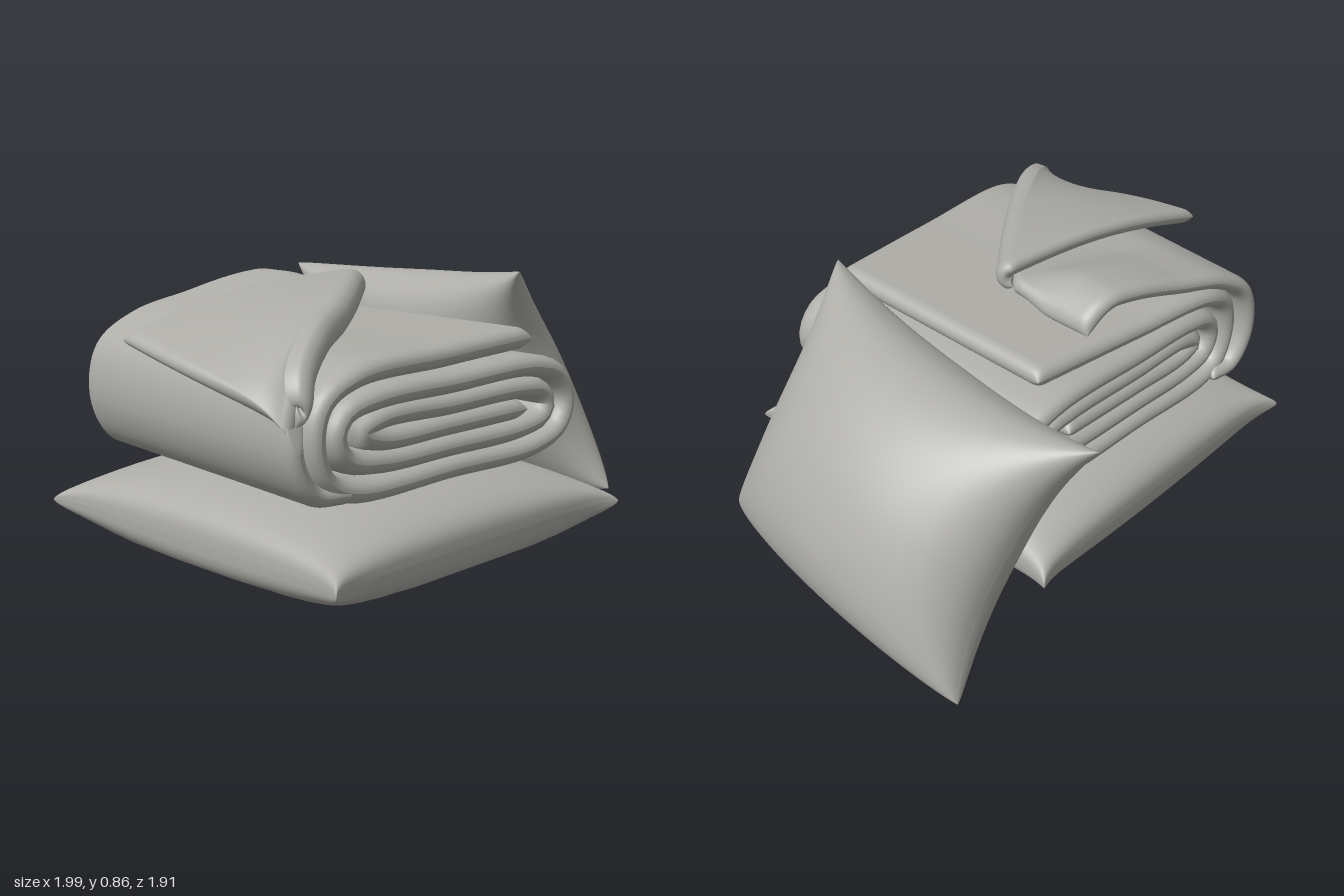
import * as THREE from 'three';

const V = (x, y, z) => new THREE.Vector3(x, y, z);
const smooth = THREE.MathUtils.smoothstep;
const fabric = new THREE.MeshStandardMaterial({ color: 0xaeada8 });
fabric.name = 'grey fabric';

// Grid of (n+1) x (m+1) points, denser toward its borders
function gridSurface(n, m, point, flip, out) {
  const base = out.pos.length / 3;
  for (let i = 0; i <= n; i++) {
    for (let j = 0; j <= m; j++) {
      const a = 0.5 - 0.5 * Math.cos((Math.PI * i) / n);
      const b = 0.5 - 0.5 * Math.cos((Math.PI * j) / m);
      out.pos.push(...point(a, b).toArray());
    }
  }
  for (let i = 0; i < n; i++) {
    for (let j = 0; j < m; j++) {
      const p = base + i * (m + 1) + j, q = p + m + 1;
      if (flip) out.idx.push(p, q + 1, q, p, p + 1, q + 1);
      else out.idx.push(p, q, q + 1, p, q + 1, p + 1);
    }
  }
}

function toMesh(out, name) {
  const g = new THREE.BufferGeometry();
  g.setAttribute('position', new THREE.Float32BufferAttribute(out.pos, 3));
  g.setIndex(out.idx);
  g.computeVertexNormals();
  const mesh = new THREE.Mesh(g, fabric);
  mesh.name = name;
  return mesh;
}

// Cushion: two bulging shells that meet in a seam through four corners
function cushion(name, c, o) {
  const out = { pos: [], idx: [] };
  const ds = c[1].clone().sub(c[0]), dt = c[2].clone().sub(c[0]);
  const normal = ds.cross(dt).normalize();
  for (const side of [1, -1]) {
    gridSurface(64, 64, (a, b) => {
      const s = 2 * a - 1, t = 2 * b - 1;
      const ps = s * (1 - o.pinchS * (1 - Math.abs(t) ** o.ear));
      const pt = t * (1 - (t > 0 ? o.pinchTop : o.pinchBottom) * (1 - Math.abs(s) ** o.ear));
      const p = c[0].clone().lerp(c[1], (ps + 1) / 2)
        .lerp(c[2].clone().lerp(c[3], (ps + 1) / 2), (pt + 1) / 2);
      const puff = Math.pow(Math.max(0, (1 - s * s) * (1 - t * t)), o.power) * (1 - o.sag * t);
      p.addScaledVector(normal, side * puff * (side > 0 ? o.up : o.down));
      p.y = Math.max(0.005, p.y); // rests flat on the ground
      return p;
    }, side < 0, out);
  }
  return toMesh(out, name);
}

// Padded cloth of given thickness around a centre surface, with rounded hems
function cloth(name, fn, n, m, thick, hemA, hemB) {
  const out = { pos: [], idx: [] };
  const hem = (x, w) => {
    const d = Math.min(1, Math.min(x, 1 - x) / w);
    return Math.sqrt(Math.max(0, 1 - (1 - d) ** 2));
  };
  const e = 0.002;
  for (const side of [1, -1]) {
    gridSurface(n, m, (a, b) => {
      const a0 = Math.max(0, a - e), a1 = Math.min(1, a + e);
      const b0 = Math.max(0, b - e), b1 = Math.min(1, b + e);
      const nrm = fn(a1, b).sub(fn(a0, b)).cross(fn(a, b1).sub(fn(a, b0))).normalize();
      return fn(a, b).addScaledVector(nrm, side * 0.5 * thick * hem(a, hemA) * hem(b, hemB));
    }, side < 0, out);
  }
  return toMesh(out, name);
}

const curve = (pts) => new THREE.CatmullRomCurve3(pts.map(([u, y]) => V(u, y, 0)));

// Blanket frame: u runs across, v runs to the front, turned a little
function place(u, y, v) {
  const k = u + 0.17 * v * Math.min(0, u);
  return V(-0.19 + k * 0.982 + v * 0.188, y, 0.12 - k * 0.188 + v * 0.982);
}

export function createModel() {
  const group = new THREE.Group();
  group.name = 'beddingStack';

  // Flat pillow at the bottom
  group.add(cushion('flatPillow',
    [V(-0.72, 0.09, 0.95), V(0.63, 0.09, 0.65), V(-0.99, 0.1, -0.42), V(0.33, 0.09, -0.72)],
    { pinchS: 0.055, pinchTop: 0.055, pinchBottom: 0.055, ear: 10, power: 0.32, sag: 0, up: 0.19, down: 0.2 }));

  // Pillow leaning against the stack
  group.add(cushion('leaningPillow',
    [V(0.9, 0.02, 0.32), V(0.8, 0.02, -0.92), V(0.45, 0.86, 0.31), V(0.33, 0.79, -0.96)],
    { pinchS: 0.16, pinchTop: 0.12, pinchBottom: 0, ear: 2.5, power: 0.42, sag: 0.12, up: 0.3, down: 0.24 }));

  const blanket = new THREE.Group();
  blanket.name = 'foldedBlanket';
  group.add(blanket);

  // Folded layers, from the top panel inward
  const spiral = curve([
    [0.45, 0.665], [0, 0.66], [-0.4, 0.65], [-0.51, 0.59], [-0.54, 0.48], [-0.5, 0.36],
    [-0.4, 0.312], [0, 0.31], [0.4, 0.312], [0.54, 0.36], [0.58, 0.45], [0.53, 0.54],
    [0.4, 0.582], [0, 0.58], [-0.3, 0.575], [-0.42, 0.545], [-0.455, 0.48], [-0.42, 0.41],
    [-0.3, 0.38], [0, 0.377], [0.35, 0.38], [0.46, 0.405], [0.485, 0.45], [0.45, 0.495],
    [0.33, 0.513], [0, 0.51], [-0.28, 0.51], [-0.36, 0.478], [-0.28, 0.445], [0, 0.443], [0.36, 0.445],
  ]);
  spiral.arcLengthDivisions = 800;
  blanket.add(cloth('foldedLayers', (a, b) => {
    const p = spiral.getPointAt(a);
    const reach = 0.575 - 0.09 * Math.max(0, 1 - a / 0.14) - 0.03 * a;
    return place(p.x, p.y, reach * (1 - 2 * b));
  }, 280, 40, 0.075, 0.007, 0.045));

  // Outer layer round the left side, cut along a diagonal crease
  const section = curve([
    [-0.43, 0.312], [-0.55, 0.335], [-0.615, 0.46], [-0.585, 0.62], [-0.44, 0.71], [-0.2, 0.74], [0.22, 0.785],
  ]);
  const outer = (a, b) => {
    const s = Math.min(1, b / 0.68);
    const p = section.getPointAt(a * (0.22 + 0.78 * Math.pow(s, 0.75)));
    // the free back edge rises, then curls down at its right end
    const back = smooth(b, 0.66, 0.85);
    const lift = 0.05 * back * smooth(p.x, -0.5, 0.05);
    const curl = 0.1 * back * Math.max(0, (a - 0.88) / 0.12) ** 2;
    return place(p.x, p.y + lift - curl, 0.57 - b * (1.09 - 0.15 * p.x));
  };
  blanket.add(cloth('outerLayer', outer, 90, 56, 0.065, 0.03, 0.04));

  // Corner of the outer layer turned back over the crease
  const tip = V(-0.93, 0.71, 0.06), start = outer(1, 0), r = 0.03;
  blanket.add(cloth('turnedBackFlap', (a, b) => {
    const s = 0.03 + 0.97 * a;
    const crease = outer(1, s * 0.68);
    const edge = start.clone().lerp(tip, s);
    edge.x -= 0.035 * Math.sin(Math.PI * s);
    edge.y = start.y + (tip.y - start.y) * Math.sqrt(s);
    if (b < 0.2) {
      const ang = (b / 0.2 - 0.5) * Math.PI;
      const outward = r * Math.cos(ang);
      return crease.add(V(0.76 * outward, r + r * Math.sin(ang), 0.65 * outward));
    }
    const t = (b - 0.2) / 0.8;
    crease.y += 2 * r;
    const p = crease.lerp(edge, t);
    p.y += 0.04 * s * Math.sin(Math.PI * t);
    return p;
  }, 48, 64, 0.055, 0.04, 0.04));

  return group;
}
